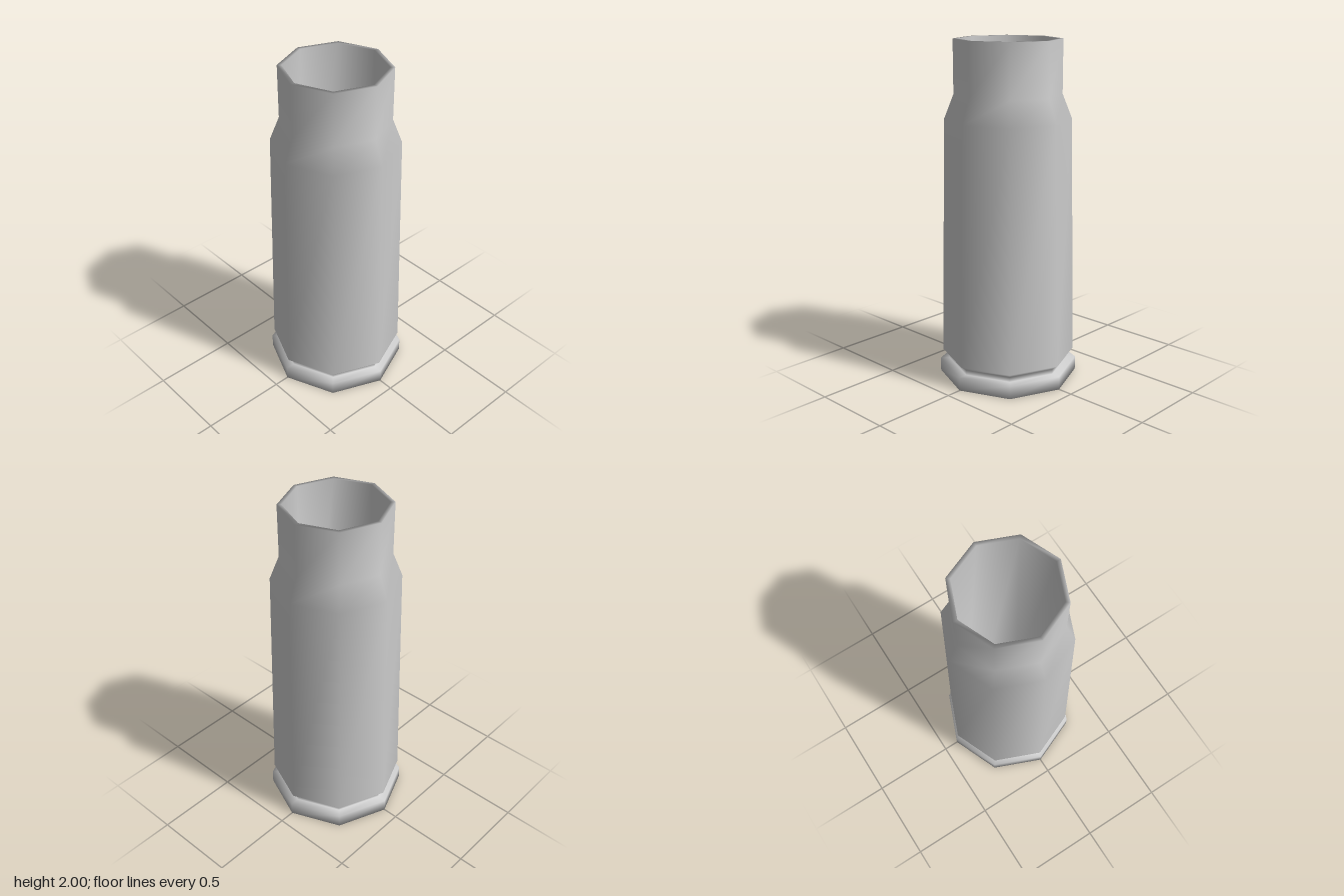
import * as THREE from 'three';

const SIDES = 8;

// Closed solid from a [radius, y] profile, with flat fans at both ends and shared smooth normals.
function turnedSolid(profile) {
  const positions = [];
  const index = [];
  for (const [r, y] of profile) {
    for (let i = 0; i < SIDES; i++) {
      const a = (i / SIDES) * Math.PI * 2;
      positions.push(r * Math.sin(a), y, r * Math.cos(a));
    }
  }
  for (let j = 0; j < profile.length - 1; j++) {
    for (let i = 0; i < SIDES; i++) {
      const n = (i + 1) % SIDES;
      const a = j * SIDES + i, b = j * SIDES + n;
      index.push(a, b, b + SIDES, a, b + SIDES, a + SIDES);
    }
  }
  const last = (profile.length - 1) * SIDES;
  for (let i = 1; i < SIDES - 1; i++) {
    index.push(0, i + 1, i); // underside
    index.push(last, last + i, last + i + 1); // floor of the bore
  }
  const geometry = new THREE.BufferGeometry();
  geometry.setAttribute('position', new THREE.Float32BufferAttribute(positions, 3));
  geometry.setIndex(index);
  geometry.computeVertexNormals();
  return geometry;
}

export function createModel() {
  const group = new THREE.Group();
  group.name = 'cartridgeCase';

  const profile = [
    [0.41, 0], [0.41, 0.08],       // base rim
    [0.355, 0.08], [0.355, 0.11],  // extractor groove
    [0.395, 0.14], [0.365, 1.55],  // tapered body
    [0.31, 1.69], [0.31, 2],       // shoulder and neck
    [0.285, 2], [0.285, 0.15],     // mouth and hollow bore
  ];
  const casing = new THREE.Mesh(
    turnedSolid(profile),
    new THREE.MeshStandardMaterial({ color: 0xcccccc })
  );
  casing.name = 'casing';
  group.add(casing);
  return group;
}
